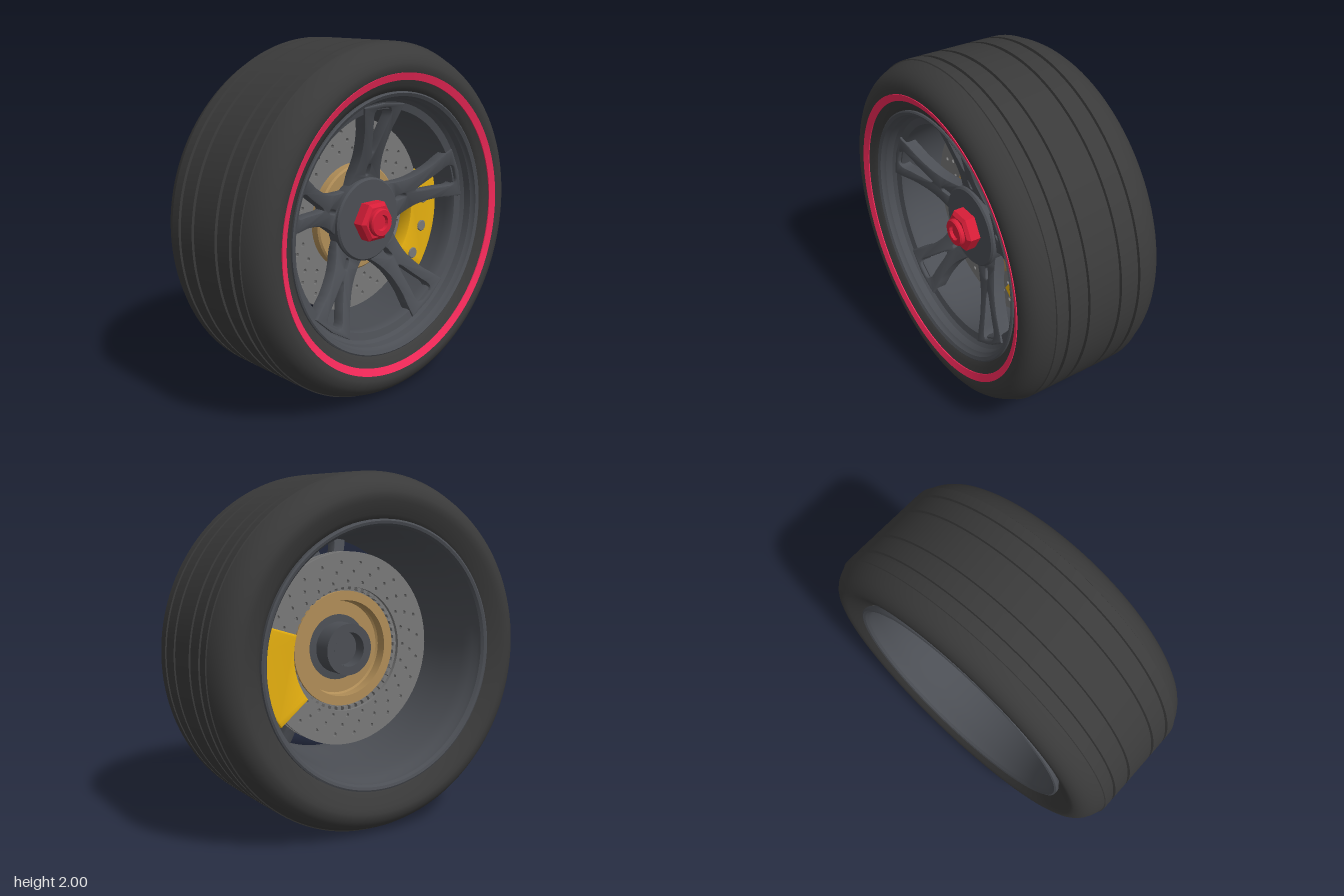
import * as THREE from 'three';
import { toCreasedNormals } from 'three/addons/utils/BufferGeometryUtils.js';

const V = (x, y) => new THREE.Vector2(x, y);
const DEG = Math.PI / 180;
const mat = (color, side = THREE.FrontSide) => new THREE.MeshStandardMaterial({ color, side });
const rubber = mat(0x3a3a3a, THREE.DoubleSide);
const alloy = mat(0x4b4e54);
const steel = mat(0x787878);
const bronze = mat(0xb08d57);
const yellow = mat(0xe6b010);
const red = mat(0xd81e38);
const stripe = mat(0xf5295a, THREE.DoubleSide);

// All parts are built around the local z axis, with the outer face toward +z.
function add(parent, name, geometry, material) {
  const mesh = new THREE.Mesh(geometry, material);
  mesh.name = name;
  parent.add(mesh);
  return mesh;
}

// Turned part from [radius, depth] pairs, outside listed from back to front
function turned(profile, segments = 96, crease = 0.5, start = 0) {
  const geo = new THREE.LatheGeometry(profile.map(p => V(...p)), segments, start);
  return toCreasedNormals(geo.rotateX(Math.PI / 2), crease);
}

function extruded(shape, z0, z1, bevel = 0, curveSegments = 24) {
  const geo = new THREE.ExtrudeGeometry(shape, {
    depth: z1 - z0 - 2 * bevel, curveSegments,
    bevelEnabled: bevel > 0, bevelSize: bevel, bevelThickness: bevel, bevelOffset: -bevel, bevelSegments: 2,
  });
  return geo.translate(0, 0, z0 + bevel);
}

function sector(r0, r1, a0, a1) {
  const s = new THREE.Shape();
  s.absarc(0, 0, r1, a0 * DEG, a1 * DEG, false);
  s.absarc(0, 0, r0, a1 * DEG, a0 * DEG, true);
  s.closePath();
  return s;
}

function tyreProfile() {
  // Sidewall and shoulder, from the bead up to the tread edge
  const side = [[0.73, 0.35], [0.745, 0.372], [0.77, 0.385], [0.8, 0.4], [0.84, 0.416], [0.868, 0.424],
    [0.89, 0.421], [0.915, 0.411], [0.938, 0.395], [0.958, 0.372], [0.975, 0.343], [0.988, 0.31], [0.993, 0.293]];
  const tread = [[0.999, 0.29]];
  for (const z of [0.22, 0.1]) {
    tread.push([1, z + 0.011], [0.986, z + 0.008], [0.986, z - 0.008], [1, z - 0.011]);
  }
  const half = [...side, ...tread];
  return [...half.map(([r, z]) => [r, -z]), ...half.reverse()];
}

function spokeShape() {
  // Twin spoke pointing along +y
  const edge = new THREE.SplineCurve([V(0.125, 0.2), V(0.1, 0.28), V(0.088, 0.38),
    V(0.105, 0.5), V(0.132, 0.58), V(0.155, 0.655)]).getPoints(24);
  const shape = new THREE.Shape([...edge, V(0, 0.67), ...edge.map(p => V(-p.x, p.y)).reverse()]);
  // Teardrop opening between the two arms
  const drop = new THREE.Path();
  drop.moveTo(0, 0.385);
  drop.bezierCurveTo(0.014, 0.39, 0.03, 0.5, 0.058, 0.58);
  drop.bezierCurveTo(0.072, 0.625, 0.055, 0.642, 0.03, 0.642);
  drop.lineTo(-0.03, 0.642);
  drop.bezierCurveTo(-0.055, 0.642, -0.072, 0.625, -0.058, 0.58);
  drop.bezierCurveTo(-0.03, 0.5, -0.014, 0.39, 0, 0.385);
  // Small slot beside the hub
  const slot = new THREE.Path();
  slot.absarc(0, 0.305, 0.013, 0, Math.PI, false);
  slot.absarc(0, 0.265, 0.013, Math.PI, 2 * Math.PI, false);
  slot.closePath();
  shape.holes.push(drop, slot);
  return shape;
}

function discPlate(inner, z0, z1) {
  const shape = new THREE.Shape();
  shape.absarc(0, 0, 0.56, 0, Math.PI * 2, false);
  const bore = new THREE.Path();
  bore.absarc(0, 0, inner, 0, Math.PI * 2, true);
  shape.holes.push(bore);
  // Swept rows of drilled holes
  for (let i = 0; i < 24; i++) {
    [0.39, 0.445, 0.5].forEach((r, row) => {
      const a = (i * 15 + row * 5) * DEG;
      const hole = new THREE.Path();
      hole.absarc(r * Math.cos(a), r * Math.sin(a), 0.012, 0, Math.PI * 2, true);
      shape.holes.push(hole);
    });
  }
  return toCreasedNormals(extruded(shape, z0, z1, 0, 40), 0.9);
}

export function createModel() {
  const model = new THREE.Group();
  model.name = 'wheel';
  const wheel = new THREE.Group();
  wheel.name = 'wheelAssembly';
  wheel.rotation.y = Math.PI / 2;
  wheel.position.y = 1;
  model.add(wheel);

  // Tyre with coloured sidewall ring
  add(wheel, 'tyre', turned(tyreProfile(), 128), rubber);
  add(wheel, 'sidewallStripe', turned([[0.84, 0.412], [0.84, 0.421], [0.8, 0.406], [0.8, 0.396]], 128), stripe);

  // Rim: outer lips, front ledge and open tapered barrel
  add(wheel, 'rim', turned([
    [0.715, -0.3], [0.728, -0.36], [0.745, -0.38], [0.745, -0.4], [0.735, -0.405], [0.72, -0.4], [0.708, -0.385],
    [0.705, -0.36], [0.69, -0.33], [0.675, -0.26], [0.662, -0.1], [0.645, 0.1], [0.632, 0.2], [0.628, 0.25],
    [0.634, 0.268], [0.675, 0.28], [0.692, 0.3], [0.698, 0.34], [0.708, 0.352], [0.712, 0.37], [0.73, 0.38],
    [0.738, 0.375], [0.738, 0.35], [0.715, 0.3], [0.715, -0.3],
  ].reverse()), alloy);

  // Five twin spokes, leaning outward toward the rim
  const spoke = extruded(spokeShape(), 0, 0.075, 0.008, 10);
  const pos = spoke.attributes.position;
  for (let i = 0; i < pos.count; i++) {
    pos.setZ(i, pos.getZ(i) + 0.07 + 0.34 * (pos.getY(i) - 0.22));
  }
  const spokeGeo = toCreasedNormals(spoke, 0.6);
  for (let i = 0; i < 5; i++) {
    add(wheel, 'spoke', spokeGeo, alloy).rotation.z = i * 72 * DEG;
  }

  // Hub cap with axle barrel behind it
  add(wheel, 'hub', turned([[0.1, -0.06], [0.15, -0.06], [0.15, 0.06], [0.235, 0.07], [0.24, 0.08],
    [0.24, 0.165], [0.23, 0.175], [0, 0.175]], 64), alloy);
  add(wheel, 'axleBore', turned([[0, 0.02], [0.1, 0.02], [0.1, -0.06]].reverse().map(([r, z]) => [r, z]), 48),
    mat(0x4b4e54, THREE.DoubleSide));

  // Hexagonal centre nut
  add(wheel, 'centreNut', turned([[0.122, 0.17], [0.122, 0.235], [0.1, 0.252], [0, 0.252]], 6, 0.2, Math.PI / 6), red);
  add(wheel, 'nutCollar', turned([[0.08, 0.24], [0.08, 0.272], [0.074, 0.28], [0.045, 0.28], [0.04, 0.262],
    [0, 0.262]], 40), red);

  // Vented brake disc
  add(wheel, 'discFrontPlate', discPlate(0.3, 0.012, 0.034), steel);
  add(wheel, 'discRearPlate', discPlate(0.36, -0.04, -0.018), steel);
  const vane = new THREE.BoxGeometry(0.045, 0.02, 0.032).translate(0.365, 0, -0.003);
  for (let i = 0; i < 48; i++) {
    add(wheel, 'discVane', vane, steel).rotation.z = i * 7.5 * DEG;
  }

  // Brake bell, open toward the back
  add(wheel, 'discBell', turned([[0.14, 0.065], [0.27, 0.065], [0.28, 0.055], [0.28, -0.01], [0.335, -0.01],
    [0.335, 0.01], [0.31, 0.012], [0.31, 0.08], [0.3, 0.09], [0.14, 0.09]], 72), bronze);

  // Caliper: two halves joined by a bridge over the disc
  const caliper = new THREE.Group();
  caliper.name = 'caliper';
  wheel.add(caliper);
  for (const [name, r0, z0, z1] of [['caliperFront', 0.395, 0.045, 0.135],
    ['caliperRear', 0.395, -0.12, -0.05], ['caliperBridge', 0.57, -0.06, 0.06]]) {
    const bevel = name === 'caliperBridge' ? 0 : 0.01;
    add(caliper, name, toCreasedNormals(extruded(sector(r0, 0.617, -39, 17.5), z0, z1, bevel), 0.5), yellow);
  }
  for (const angle of [5, -15, -35]) {
    const bolt = add(caliper, 'caliperBolt',
      turned([[0.034, 0.12], [0.034, 0.138], [0.03, 0.142], [0, 0.142]], 24), steel);
    bolt.position.set(0.505 * Math.cos(angle * DEG), 0.505 * Math.sin(angle * DEG), 0);
  }
  return model;
}
